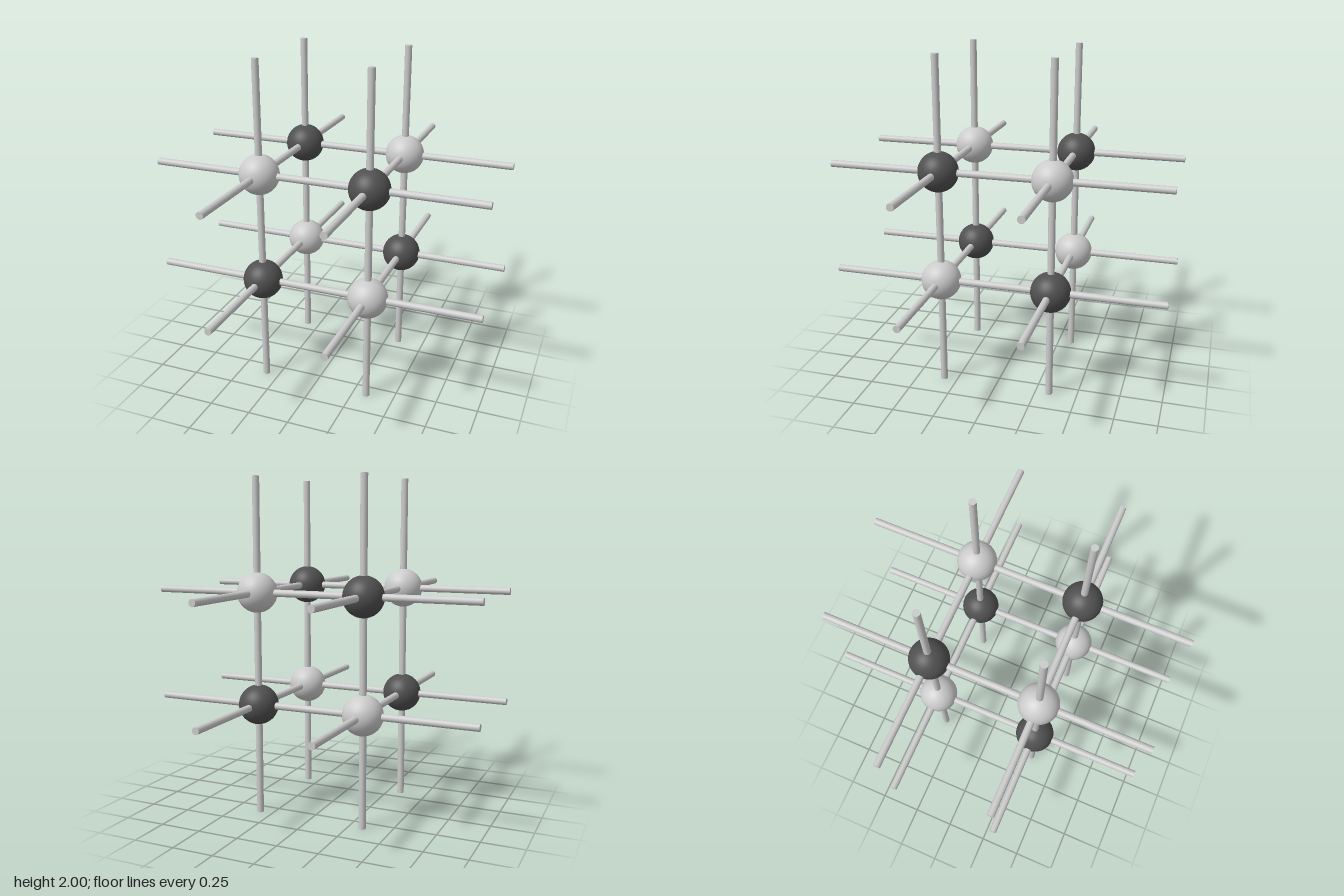
import * as THREE from 'three';

const OFFSET = 1 / 3;       // distance of lattice points from the centre
const BALL_RADIUS = 0.118;
const ROD_RADIUS = 0.021;

export function createModel() {
  const model = new THREE.Group();
  model.name = 'cubicLattice';

  const grey = new THREE.MeshStandardMaterial({ color: 0xcccccc });
  const dark = new THREE.MeshStandardMaterial({ color: 0x505050 });
  const ballGeometry = new THREE.SphereGeometry(BALL_RADIUS, 40, 28);
  const rodGeometry = new THREE.CylinderGeometry(ROD_RADIUS, ROD_RADIUS, 2, 20);

  const add = (name, geometry, material, x, y, z) => {
    const mesh = new THREE.Mesh(geometry, material);
    mesh.name = name;
    mesh.position.set(x, y + 1, z);
    model.add(mesh);
    return mesh;
  };

  const signs = [-1, 1];

  // Balls at the cube corners, alternating between the two kinds
  for (const x of signs) for (const y of signs) for (const z of signs) {
    const isDark = x * y * z > 0;
    add(isDark ? 'darkBall' : 'lightBall', ballGeometry, isDark ? dark : grey,
      x * OFFSET, y * OFFSET, z * OFFSET);
  }

  // Four full-length rods along each axis, running through the balls
  for (const i of signs) for (const j of signs) {
    const a = i * OFFSET, b = j * OFFSET;
    add('uprightRod', rodGeometry, grey, a, 0, b);
    add('crossRod', rodGeometry, grey, 0, a, b).rotation.z = Math.PI / 2;
    add('depthRod', rodGeometry, grey, a, b, 0).rotation.x = Math.PI / 2;
  }

  return model;
}
